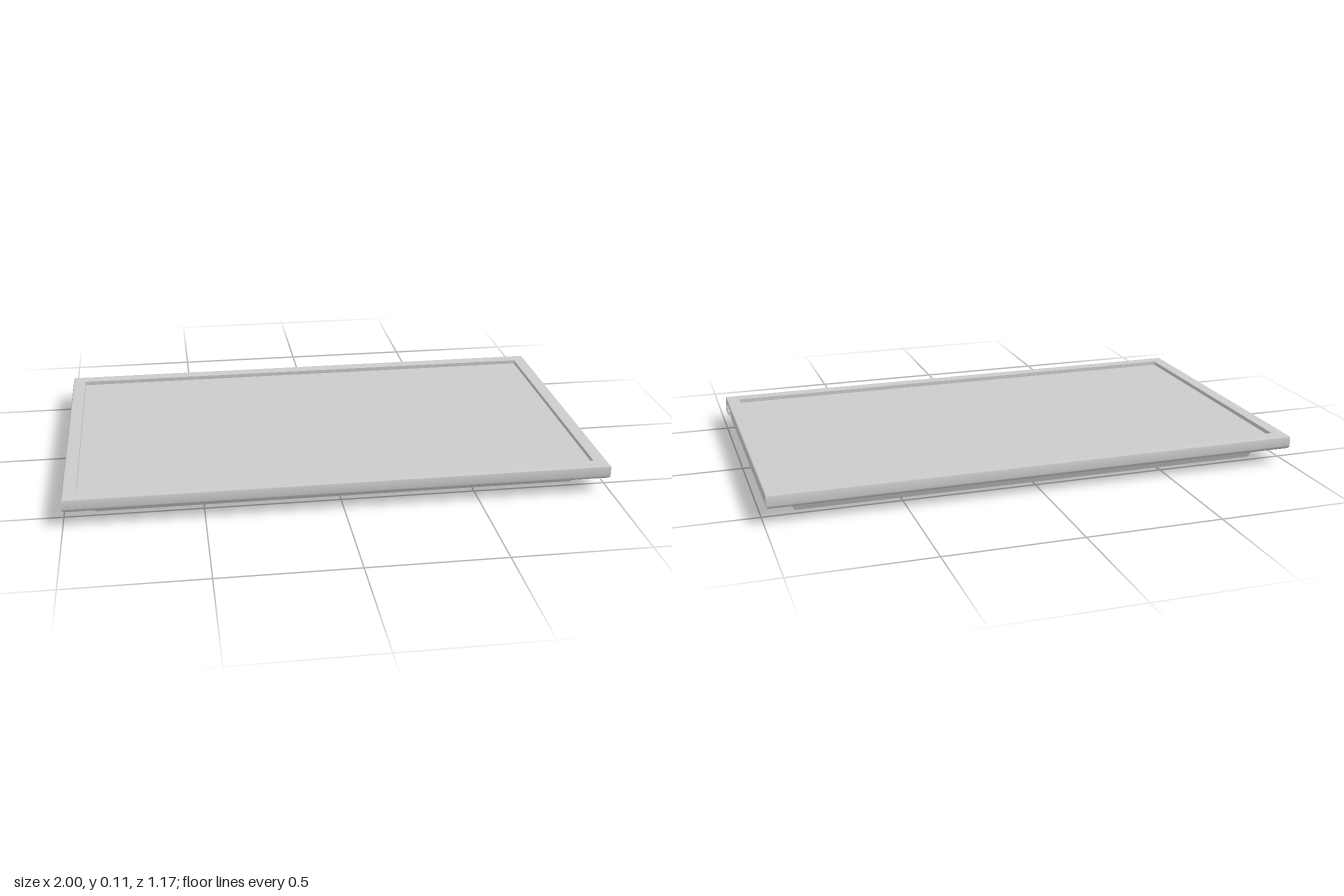
import * as THREE from 'three';
import { toCreasedNormals } from 'three/addons/utils/BufferGeometryUtils.js';

const grey = new THREE.MeshStandardMaterial({ color: 0xcccccc });
const CX = -0.004; // the housing sits slightly off centre because the buttons stick out

// Skin a stack of rectangles [halfX, halfZ, y]; rising rings face outward.
function loft(rings, cx = 0, cz = 0) {
  const corners = [[1, 1], [1, -1], [-1, -1], [-1, 1]];
  const pos = [];
  const point = ([hx, hz, y], k) => {
    const [sx, sz] = corners[k % 4];
    return new THREE.Vector3(cx + sx * hx, y, cz + sz * hz);
  };
  const tri = (a, b, c) => {
    if (a.distanceTo(b) && b.distanceTo(c) && c.distanceTo(a)) {
      for (const p of [a, b, c]) pos.push(p.x, p.y, p.z);
    }
  };
  for (let i = 0; i < rings.length - 1; i++) {
    for (let k = 0; k < 4; k++) {
      const a = point(rings[i], k), b = point(rings[i], k + 1);
      const c = point(rings[i + 1], k + 1), d = point(rings[i + 1], k);
      tri(a, b, c);
      tri(a, c, d);
    }
  }
  const geo = new THREE.BufferGeometry();
  geo.setAttribute('position', new THREE.Float32BufferAttribute(pos, 3));
  return toCreasedNormals(geo, 0.6);
}

function rectPath(path, x, z, hx, hz) {
  path.moveTo(x - hx, z - hz);
  path.lineTo(x + hx, z - hz);
  path.lineTo(x + hx, z + hz);
  path.lineTo(x - hx, z + hz);
  path.closePath();
  return path;
}

export function createModel() {
  const model = new THREE.Group();
  const add = (name, geo, parent = model) => {
    const mesh = new THREE.Mesh(geo, grey);
    mesh.name = name;
    parent.add(mesh);
    return mesh;
  };

  // Display frame: rounded rear edge, softened front edge, recessed opening
  const HX = 0.995, HZ = 0.585, OX = 0.945, OZ = 0.53;
  const rings = [[0, 0, 0.058]];
  const arc = (r, y, from) => {
    for (let i = 0; i <= 6; i++) {
      const t = from + (i / 6) * Math.PI / 2;
      const inset = r * (1 - Math.cos(t));
      rings.push([HX - inset, HZ - inset, y + r * Math.sin(t)]);
    }
  };
  arc(0.015, 0.073, -Math.PI / 2);
  arc(0.005, 0.105, 0);
  rings.push([OX, OZ, 0.11], [OX, OZ, 0.095]);
  add('frame', loft(rings, CX));

  // Screen panel at the bottom of the recess
  add('screen', loft([[OX, OZ, 0.095], [0, 0, 0.095]], CX));

  // Tapered rear housing
  add('rearHousing', loft([[0.885, 0.47, 0], [0.908, 0.494, 0.058]], CX));

  // Rear cover with a row of vent slots near its back edge
  const cover = rectPath(new THREE.Shape(), CX, 0, 0.885, 0.47);
  const vents = new THREE.Group();
  vents.name = 'vents';
  model.add(vents);
  const slots = 13, slotZ = -0.435, slotHX = 0.009, slotHZ = 0.022;
  for (let i = 0; i < slots; i++) {
    const x = (i - (slots - 1) / 2) * 0.032;
    cover.holes.push(rectPath(new THREE.Path(), x, slotZ, slotHX, slotHZ));
    add('ventSlot', loft([[0, 0, 0.02], [slotHX, slotHZ, 0.02], [slotHX, slotHZ, 0]], x, slotZ), vents);
  }
  add('rearCover', new THREE.ShapeGeometry(cover).rotateX(Math.PI / 2));

  // Control buttons on the left edge
  const buttons = new THREE.Group();
  buttons.name = 'buttons';
  model.add(buttons);
  for (let i = 0; i < 5; i++) {
    const button = add('button', new THREE.BoxGeometry(0.016, 0.014, 0.012), buttons);
    button.position.set(0.992, 0.087, 0.424 + i * 0.018);
  }

  // Status light on the bezel
  const light = add('statusLight', new THREE.CylinderGeometry(0.004, 0.004, 0.004, 16));
  light.position.set(0.915, 0.109, 0.555);

  return model;
}
